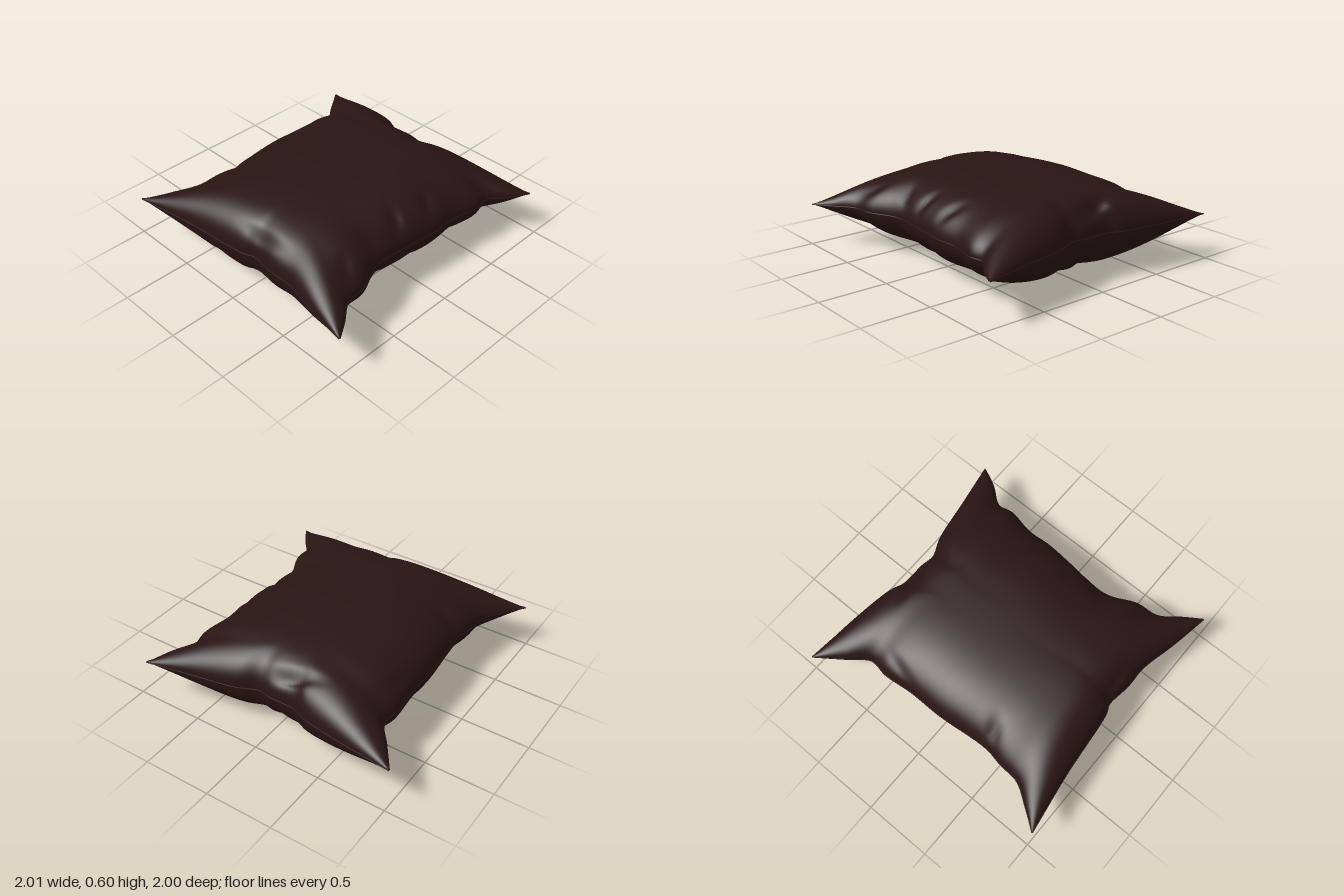
import * as THREE from 'three';

const SEAM_Y = 0.31, N = 110;

// Seam outline: four edges as x, z points between pulled-out corners
const edge = (pts) => new THREE.CatmullRomCurve3(pts.map(([x, z]) => new THREE.Vector3(x, SEAM_Y - 0.006 * z, z)), false, 'centripetal');
const back = edge([[-1, -0.96], [-0.86, -0.86], [-0.7, -0.76], [-0.55, -0.745], [-0.4, -0.72], [0, -0.75], [0.25, -0.75], [0.48, -0.77], [0.62, -0.755], [0.78, -0.87], [0.96, -1]]);
const front = edge([[-0.98, 0.99], [-0.86, 0.91], [-0.71, 0.8], [-0.55, 0.78], [-0.34, 0.69], [0, 0.71], [0.2, 0.73], [0.4, 0.725], [0.6, 0.765], [0.72, 0.75], [0.86, 0.85], [1, 0.92]]);
const left = edge([[-1, -0.96], [-0.93, -0.5], [-0.875, 0], [-0.85, 0.06], [-0.87, 0.25], [-0.87, 0.42], [-0.93, 0.7], [-0.98, 0.99]]);
const right = edge([[0.96, -1], [0.92, -0.6], [0.87, -0.3], [0.83, -0.2], [0.825, 0], [0.81, 0.1], [0.87, 0.25], [0.93, 0.55], [1, 0.92]]);

// Folds running in from the seam: x, z, direction angle, length, width, depth
const topFolds = [
  [-0.4, -0.66, 1.2, 0.1, 0.04, 0.03], [0.38, -0.7, 0.3, 0.12, 0.03, 0.02],
  [0.76, -0.12, 1.35, 0.16, 0.035, 0.04], [-0.81, 0.12, 1.5, 0.14, 0.03, 0.03],
  [-0.3, 0.63, 0.9, 0.1, 0.04, 0.025], [-0.08, 0.63, 1.9, 0.1, 0.04, 0.03], [0.2, 0.65, 2.1, 0.1, 0.04, 0.025],
  [-0.62, 0.7, 2.2, 0.1, 0.04, 0.015]
];
const bottomFolds = [
  [-0.3, 0.62, 2.2, 0.12, 0.04, 0.03], [0, 0.63, 1.2, 0.12, 0.05, 0.02], [0.4, 0.64, 1.8, 0.12, 0.04, 0.015],
  [0.75, -0.05, 0.5, 0.14, 0.04, 0.03], [-0.79, 0, 0.2, 0.12, 0.04, 0.025], [-0.79, -0.3, 2.8, 0.12, 0.04, 0.02],
  [-0.4, -0.65, 1.3, 0.12, 0.04, 0.02], [0.2, -0.67, 1.6, 0.12, 0.04, 0.02]
];

function foldDepth(folds, x, z) {
  let d = 0;
  for (const [fx, fz, a, len, wid, depth] of folds) {
    const dx = x - fx, dz = z - fz;
    const along = (dx * Math.cos(a) + dz * Math.sin(a)) / len;
    const across = (dz * Math.cos(a) - dx * Math.sin(a)) / wid;
    // a crease with a faint raised lip on either side
    d += depth * Math.exp(-along * along - across * across * 0.5) * (1 - 0.25 * across * across);
  }
  return d;
}

// One half of the cover: a patch between the seam edges, puffed up or down
function coverGeometry(sign, folds) {
  const sample = (curve) => Array.from({ length: N + 1 }, (_, i) => curve.getPointAt((1 - Math.cos(Math.PI * i / N)) / 2));
  const [B, F, L, R] = [back, front, left, right].map(sample);
  const pos = [], index = [];
  for (let j = 0; j <= N; j++) {
    for (let i = 0; i <= N; i++) {
      const s = (1 - Math.cos(Math.PI * i / N)) / 2, t = (1 - Math.cos(Math.PI * j / N)) / 2;
      const coons = (k) => (1 - t) * B[i][k] + t * F[i][k] + (1 - s) * L[j][k] + s * R[j][k]
        - (1 - s) * (1 - t) * B[0][k] - s * (1 - t) * B[N][k] - (1 - s) * t * F[0][k] - s * t * F[N][k];
      const x = coons('x'), z = coons('z');
      const u = Math.abs(2 * s - 1), v = Math.abs(2 * t - 1);
      // domed in the middle, steep at the seams, thinning into the corners
      const dome = (1 - 0.16 * u ** 1.6) * (1 - 0.14 * v * v) * (1 - 0.48 * u * u * v * v);
      const puff = Math.sqrt(Math.max(0, (1 - u ** 7) * (1 - v ** 4))) * dome;
      const h = (sign > 0 ? 0.29 : 0.31) * puff - foldDepth(folds, x, z) * Math.min(1, puff * 1.6);
      pos.push(x, coons('y') + sign * Math.max(0, h), z);
      if (i < N && j < N) {
        const a = j * (N + 1) + i, b = a + 1, c = a + N + 1, d = c + 1;
        if (sign > 0) index.push(a, c, b, b, c, d);
        else index.push(a, b, c, b, d, c);
      }
    }
  }
  const g = new THREE.BufferGeometry();
  g.setAttribute('position', new THREE.Float32BufferAttribute(pos, 3));
  g.setIndex(index);
  g.computeVertexNormals();
  return g;
}

export function createModel() {
  const pillow = new THREE.Group();
  pillow.name = 'pillow';
  const fabric = new THREE.MeshStandardMaterial({ color: 0x2a1414 });
  const add = (name, geometry) => {
    const mesh = new THREE.Mesh(geometry, fabric);
    mesh.name = name;
    pillow.add(mesh);
  };

  add('topCover', coverGeometry(1, topFolds));
  add('bottomCover', coverGeometry(-1, bottomFolds));

  // Fine stitched seam around the rim
  const edges = { backSeam: back, frontSeam: front, leftSeam: right, rightSeam: left };
  for (const [name, curve] of Object.entries(edges)) add(name, new THREE.TubeGeometry(curve, 90, 0.005, 6));
  return pillow;
}
